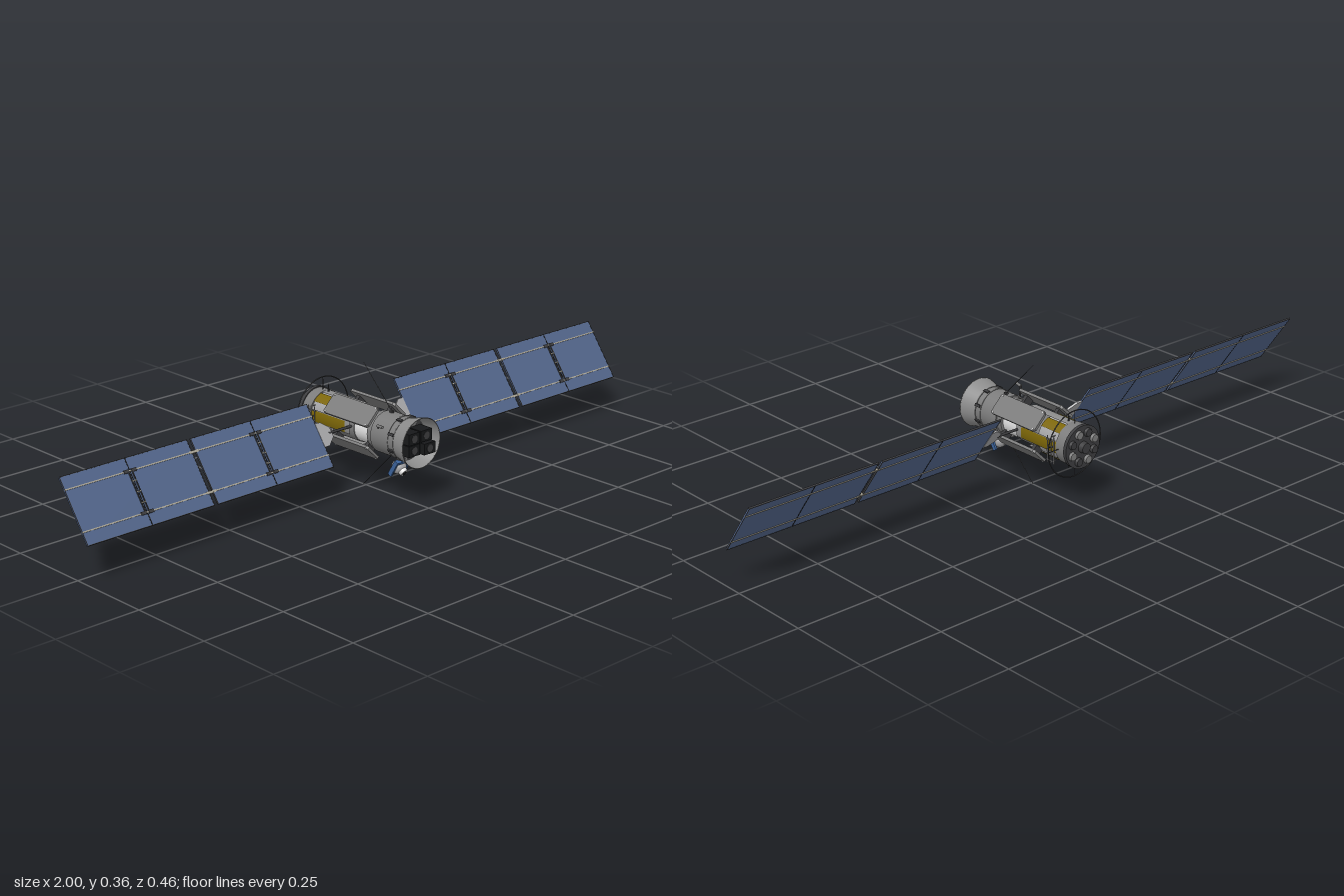
import * as THREE from 'three';

const material = (name, color) => new THREE.MeshStandardMaterial({ name, color });
const grey = material('hull grey', 0x7c7c7c);
const light = material('light grey', 0xa4a4a6);
const white = material('white', 0xe2e2e2);
const dark = material('dark grey', 0x3c3c3e);
const black = material('black', 0x17181a);
const gold = material('gold foil', 0x7c6608);
const blue = material('bracket blue', 0x3b6299);
const solar = material('solar blue', 0x52658a);
const tan = material('rail tan', 0xaaa596);
const skin = material('skirt grey', 0x8c8c8c);
skin.side = THREE.DoubleSide;
gold.side = THREE.DoubleSide;

function add(parent, name, geometry, mat, x = 0, y = 0, z = 0) {
  const mesh = new THREE.Mesh(geometry, mat);
  mesh.name = name;
  mesh.position.set(x, y, z);
  parent.add(mesh);
  return mesh;
}

const box = (parent, name, mat, size, pos) =>
  add(parent, name, new THREE.BoxGeometry(...size), mat, ...pos);

// Cylinder along z from z0 (back) to z1 (front)
function barrel(parent, name, mat, r0, r1, z0, z1, x = 0, y = 0, sides = 40, open = false) {
  const g = new THREE.CylinderGeometry(r1, r0, z1 - z0, sides, 1, open).rotateX(Math.PI / 2);
  return add(parent, name, g, mat, x, y, (z0 + z1) / 2);
}

// Curved plate around the z axis, centred on angle a measured from +x
function shell(parent, name, mat, r, a, width, z0, z1) {
  const g = new THREE.CylinderGeometry(r, r, z1 - z0, 10, 1, true, a - width / 2 + Math.PI / 2, width);
  return add(parent, name, g.rotateX(Math.PI / 2), mat, 0, 0, (z0 + z1) / 2);
}

function rod(parent, name, mat, a, b, r, r2 = r) {
  const p = new THREE.Vector3(...a), q = new THREE.Vector3(...b);
  const d = q.clone().sub(p);
  const mesh = add(parent, name, new THREE.CylinderGeometry(r2, r, d.length(), 8), mat);
  mesh.position.copy(p).add(q).multiplyScalar(0.5);
  mesh.quaternion.setFromUnitVectors(new THREE.Vector3(0, 1, 0), d.normalize());
  return mesh;
}

function buildHull(g) {
  // Flared skirt with a rim, open at the front
  barrel(g, 'skirt', skin, 0.06, 0.072, 0.168, 0.219, 0, 0, 40, true);
  add(g, 'skirtRim', new THREE.TorusGeometry(0.0715, 0.0012, 6, 40), grey, 0, 0, 0.219);
  barrel(g, 'skirtFloor', dark, 0.06, 0.06, 0.164, 0.17);
  barrel(g, 'frontBarrel', grey, 0.06, 0.06, 0.08, 0.166);
  for (const z of [0.147, 0.168]) barrel(g, 'barrelBand', grey, 0.0615, 0.0615, z - 0.002, z + 0.002);
  for (let i = 0; i < 8; i++) {
    const a = (i + 0.5) * Math.PI / 4;
    const b = box(g, 'skirtBracket', dark, [0.005, 0.008, 0.02], [0.062 * Math.cos(a), 0.062 * Math.sin(a), 0.159]);
    b.rotation.z = a;
  }
  // Camera boxes inside the skirt
  for (const sx of [-1, 1]) for (const sy of [-1, 1]) {
    const end = sx > 0 && sy < 0 ? 0.229 : 0.216;
    box(g, 'cameraBox', black, [0.042, 0.032, end - 0.17], [sx * 0.023, sy * 0.017, (end + 0.17) / 2]);
    barrel(g, 'cameraLens', dark, 0.011, 0.011, end, end + 0.001, sx * 0.023, sy * 0.017, 16);
  }
  // Core and rear barrel
  barrel(g, 'whiteTank', white, 0.048, 0.048, 0.004, 0.066);
  barrel(g, 'core', grey, 0.05, 0.05, -0.1, 0.004);
  barrel(g, 'collar', grey, 0.056, 0.056, 0.062, 0.084);
  barrel(g, 'rearCore', light, 0.0555, 0.0555, -0.168, -0.09);
  barrel(g, 'rearBarrel', grey, 0.06, 0.06, -0.202, -0.166);
  barrel(g, 'rearCap', dark, 0.063, 0.063, -0.211, -0.2);
  // Gold blankets between light strips
  for (const s of [0, Math.PI]) {
    shell(g, 'sideBlanket', gold, 0.0595, s, 0.56, -0.167, -0.025);
    shell(g, 'sideBlanketFrame', skin, 0.0588, s, 0.64, -0.167, -0.005);
  }
  for (const sx of [0, 1]) for (const sy of [-1, 1]) {
    shell(g, 'cornerBlanket', gold, 0.0585, sx * Math.PI + sy * 0.98 * (sx ? -1 : 1), 0.56, -0.167, -0.092);
  }
  for (const s of [-1, 1]) shell(g, 'spinePlate', skin, 0.0595, s * Math.PI / 2, 0.5, -0.167, -0.005);
}

// Four slanted equipment panels around the core
function buildPanels(g) {
  for (let i = 0; i < 4; i++) {
    const p = new THREE.Group();
    p.name = 'equipmentPanel';
    p.rotation.z = Math.PI / 4 + i * Math.PI / 2;
    const s = new THREE.Shape();
    const w = 0.032, h = 0.09, c = 0.006;
    s.moveTo(-w + c, -h); s.lineTo(w - c, -h); s.lineTo(w, -h + c); s.lineTo(w, h - c);
    s.lineTo(w - c, h); s.lineTo(-w + c, h); s.lineTo(-w, h - c); s.lineTo(-w, -h + c);
    const plate = new THREE.ExtrudeGeometry(s, { depth: 0.008, bevelEnabled: false });
    plate.rotateX(-Math.PI / 2).rotateZ(-Math.PI / 2);
    add(p, 'panelPlate', plate, grey, 0.068, 0, -0.006);
    for (const y of [-0.027, 0.027]) for (const z of [-0.088, 0.076]) {
      box(p, 'panelBolt', white, [0.002, 0.004, 0.004], [0.0765, y, z]);
    }
    for (const z of [-0.07, 0.06]) box(p, 'panelMount', dark, [0.025, 0.03, 0.012], [0.056, 0, z]);
    g.add(p);
  }
}

function buildTail(g) {
  // Wire ring with spokes
  add(g, 'ring', new THREE.TorusGeometry(0.097, 0.0017, 8, 56), dark, 0, 0, -0.178);
  for (let i = 0; i < 4; i++) {
    const a = i * Math.PI / 2, c = Math.cos(a), s = Math.sin(a);
    rod(g, 'ringSpoke', dark, [c * 0.055, s * 0.055, -0.178], [c * 0.097, s * 0.097, -0.178], 0.0012);
    rod(g, 'spike', dark, [c * 0.055, s * 0.055, -0.154], [c * 0.082, s * 0.082, -0.154], 0.003, 0.0006);
  }
  // Handrail ladders on both sides
  for (const s of [-1, 1]) {
    for (const z of [-0.141, -0.155, -0.166]) rod(g, 'ladderRail', light, [s * 0.066, -0.047, z], [s * 0.066, 0.032, z], 0.0016);
    for (const y of [-0.04, -0.014, 0.02]) rod(g, 'ladderRung', light, [s * 0.066, y, -0.136], [s * 0.066, y, -0.168], 0.0014);
    for (const y of [-0.044, 0.03]) rod(g, 'ladderFoot', light, [s * 0.05, y, -0.155], [s * 0.066, y, -0.155], 0.0014);
  }
  // Thrusters on the back
  barrel(g, 'mainThruster', dark, 0.015, 0.017, -0.226, -0.21, 0, 0, 20);
  for (let i = 0; i < 8; i++) {
    const a = (i + 0.5) * Math.PI / 4;
    barrel(g, 'smallThruster', i % 2 ? grey : dark, 0.011, 0.013, -0.219, -0.21, 0.043 * Math.cos(a), 0.043 * Math.sin(a), 14);
  }
}

function buildAntennas(g) {
  for (const s of [-1, 1]) {
    box(g, 'whipFoot', dark, [0.008, 0.008, 0.01], [0, s * 0.061, 0.103]);
    rod(g, 'whipAntenna', dark, [0, s * 0.062, 0.105], [0, s * 0.1795, -0.01], 0.0013, 0.0008);
    // Bent feelers on opposite sides
    rod(g, 'feelerArm', dark, [s * 0.052, s * -0.028, 0.104], [s * 0.086, s * -0.05, 0.138], 0.0025);
    rod(g, 'feelerTip', grey, [s * 0.086, s * -0.05, 0.136], [s * 0.089, s * -0.052, 0.16], 0.0042);
  }
}

// Gimballed sensor under the front barrel
function buildSensor(g) {
  const p = new THREE.Group();
  p.name = 'sensor';
  p.position.set(0, -0.09, 0.135);
  box(p, 'sensorPost', blue, [0.014, 0.045, 0.012], [0, 0.014, 0]);
  const head = new THREE.Group();
  head.name = 'sensorHead';
  head.rotation.x = 0.55;
  for (const s of [-1, 1]) box(head, 'sensorFork', blue, [0.006, 0.05, 0.013], [s * 0.025, 0, 0]);
  box(head, 'sensorYoke', blue, [0.056, 0.008, 0.013], [0, 0.024, 0]);
  add(head, 'sensorBall', new THREE.SphereGeometry(0.021, 24, 16), light, 0, -0.002, -0.002);
  barrel(head, 'sensorBarrel', white, 0.014, 0.011, 0.01, 0.024, 0, -0.002, 20);
  barrel(head, 'sensorLens', black, 0.007, 0.007, 0.024, 0.025, 0, -0.002, 16);
  p.add(head);
  g.add(p);
}

function buildWing(g, s) {
  const w = new THREE.Group();
  w.name = s > 0 ? 'leftSolarWing' : 'rightSolarWing';
  w.position.set(0, 0.004, -0.008);
  w.rotation.x = -0.62;
  rod(w, 'wingShaft', dark, [s * 0.045, 0, 0], [s * 0.135, 0, 0], 0.004);
  // Tapered yoke plate
  const yoke = new THREE.Shape([[0.125, -0.014], [0.15, -0.035], [0.168, -0.035], [0.168, 0.035], [0.15, 0.035], [0.125, 0.014]]
    .map(([x, y]) => new THREE.Vector2(s * x, y)));
  add(w, 'wingYoke', new THREE.ExtrudeGeometry(yoke, { depth: 0.006, bevelEnabled: false }), light, 0, 0, -0.003);
  for (const x of [0.3715, 0.794]) {
    const width = 0.411;
    box(w, 'solarPanel', solar, [width, 0.188, 0.004], [s * x, 0, 0]);
    for (const y of [-0.094, 0.094]) box(w, 'panelEdge', dark, [width, 0.002, 0.005], [s * x, y, 0]);
    for (const e of [-1, 1]) box(w, 'panelEnd', dark, [0.002, 0.19, 0.005], [s * x + e * 0.2045, 0, 0]);
    box(w, 'panelSeam', black, [0.003, 0.188, 0.005], [s * x, 0, 0]);
    // Rails on both faces and a cross frame on the front
    for (const y of [-0.058, 0.058]) {
      box(w, 'panelRail', tan, [width, 0.0035, 0.008], [s * x, y, 0]);
      for (const e of [-1, 1]) box(w, 'railClamp', dark, [0.016, 0.009, 0.007], [s * x + e * 0.012, y, 0.002]);
    }
    for (const e of [-1, 1]) box(w, 'crossBeam', dark, [0.0025, 0.116, 0.004], [s * x + e * 0.006, 0, 0.003]);
    for (const y of [-0.03, 0, 0.03]) box(w, 'crossTie', tan, [0.014, 0.003, 0.004], [s * x, y, 0.0035]);
  }
  // Hinges between the two panels
  for (const y of [-0.058, 0.058]) box(w, 'panelHinge', tan, [0.03, 0.007, 0.007], [s * 0.583, y, 0]);
  g.add(w);
}

export function createModel() {
  const model = new THREE.Group();
  model.name = 'satellite';
  const g = new THREE.Group();
  g.name = 'spacecraft';
  g.position.y = 0.18;
  model.add(g);
  buildHull(g);
  buildPanels(g);
  buildTail(g);
  buildAntennas(g);
  buildSensor(g);
  for (const s of [-1, 1]) buildWing(g, s);
  return model;
}
